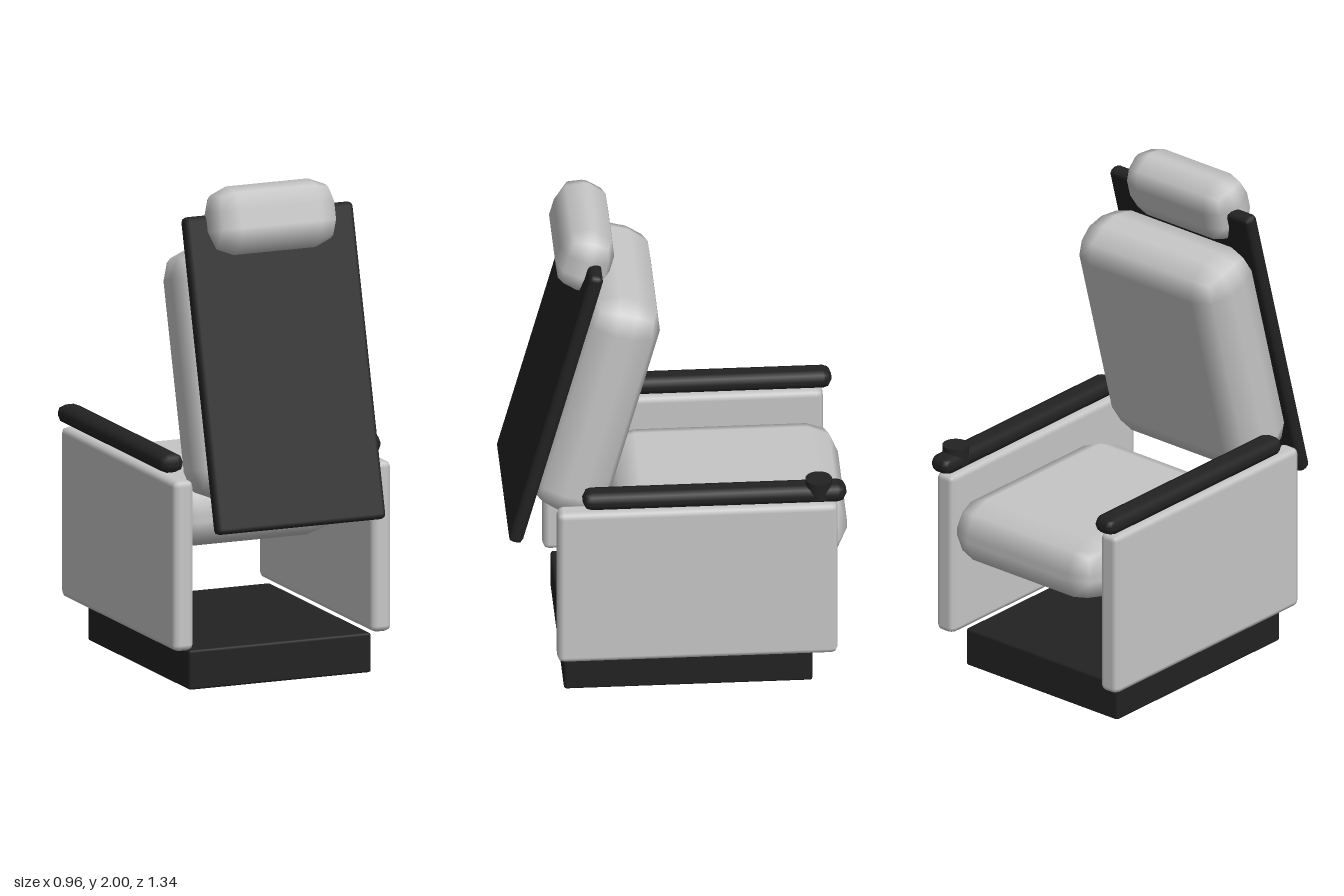
import * as THREE from 'three';
import { RoundedBoxGeometry } from 'three/addons/geometries/RoundedBoxGeometry.js';

export function createModel() {
  const upholstery = new THREE.MeshStandardMaterial({ color: 0xc6c6c6 });
  upholstery.name = 'light grey upholstery';
  const trim = new THREE.MeshStandardMaterial({ color: 0x222222 });
  trim.name = 'black trim';

  const chair = new THREE.Group();
  chair.name = 'armchair';
  chair.position.x = -0.0035;

  // Rounded block with a two-step bevel, placed by its centre
  function block(parent, name, material, size, position, radius) {
    const mesh = new THREE.Mesh(new RoundedBoxGeometry(...size, 1, radius), material);
    mesh.name = name;
    mesh.position.set(...position);
    parent.add(mesh);
    return mesh;
  }

  // Plinth and seat; the sitter faces -z
  block(chair, 'base', trim, [0.79, 0.16, 0.985], [0, 0.08, -0.0375], 0.01);
  block(chair, 'seatCushion', upholstery, [0.765, 0.267, 0.925], [0, 0.638, -0.2125], 0.12);

  // Side panels with armrests
  for (const [side, s] of [['left', 1], ['right', -1]]) {
    block(chair, side + 'SidePanel', upholstery, [0.088, 0.69, 1.11], [s * 0.428, 0.51, -0.07], 0.025);
    block(chair, side + 'Armrest', trim, [0.102, 0.075, 1.044], [s * 0.428, 0.902, -0.138], 0.034);
  }

  // Round cup rest near the tip of one armrest
  const cup = new THREE.Mesh(new THREE.CylinderGeometry(0.053, 0.053, 0.075, 24), trim);
  cup.name = 'cupRest';
  cup.position.set(0.43, 0.9225, -0.551);
  chair.add(cup);

  // Reclined back: shell, cushion and headrest share one tilt
  const back = new THREE.Group();
  back.name = 'back';
  back.position.set(0, 1.275, 0.4835);
  back.rotation.x = -Math.PI / 12;
  chair.add(back);
  block(back, 'backShell', trim, [0.732, 1.262, 0.058], [0, 0, 0], 0.02);
  block(back, 'backCushion', upholstery, [0.765, 1.0, 0.315], [0, 0.014, -0.169], 0.12);
  block(back, 'headrest', upholstery, [0.548, 0.273, 0.223], [0, 0.6, 0.031], 0.1);

  const model = new THREE.Group();
  model.name = 'recliner';
  model.add(chair);
  return model;
}
